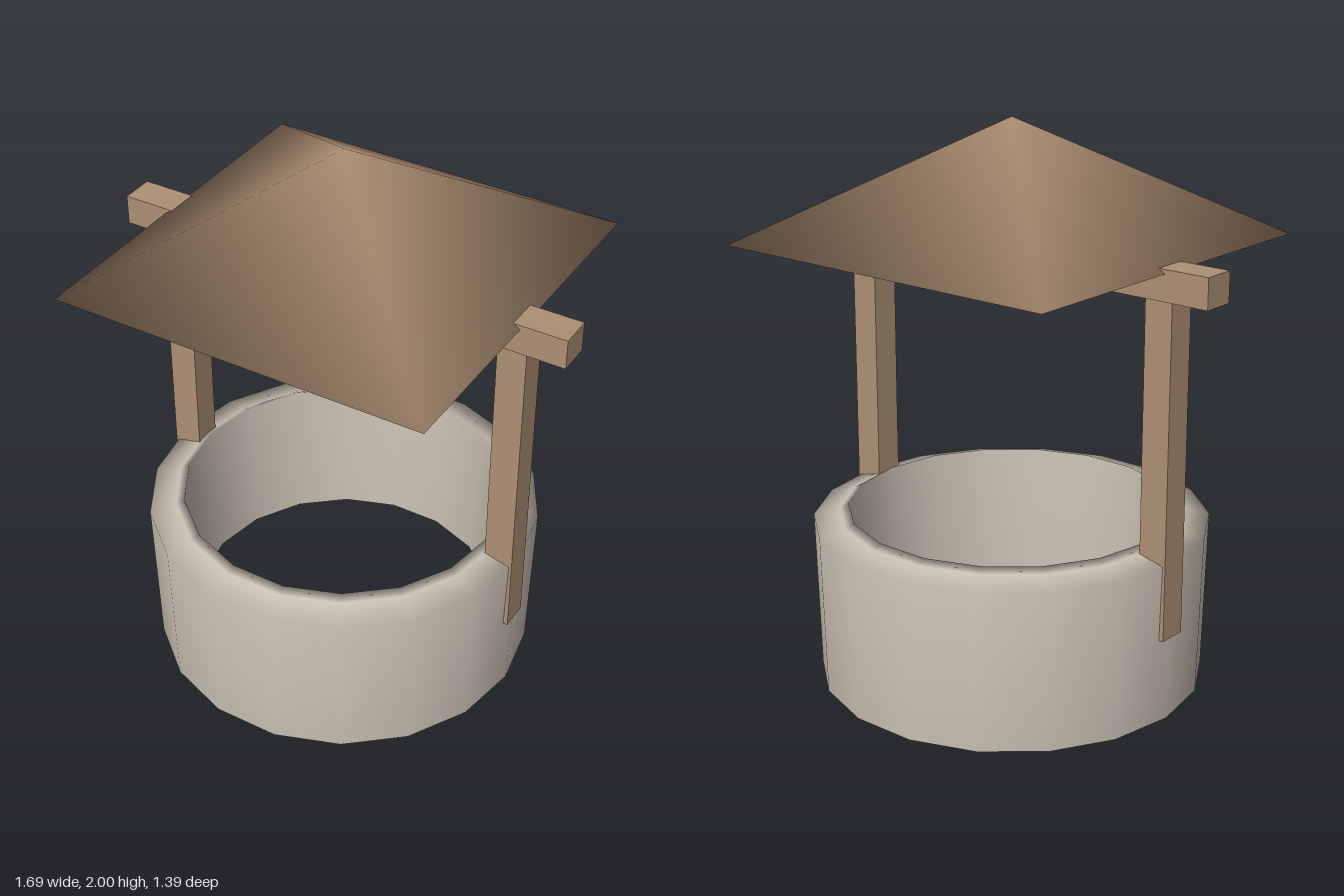
import * as THREE from 'three';

export function createModel() {
  const model = new THREE.Group();
  model.name = 'well';
  const stone = new THREE.MeshStandardMaterial({ color: 0xc8c0b2, side: THREE.DoubleSide });
  stone.name = 'stone';
  const wood = new THREE.MeshStandardMaterial({ color: 0xae9074 });
  wood.name = 'wood';

  function add(name, geometry, material, x = 0, y = 0, z = 0) {
    const mesh = new THREE.Mesh(geometry, material);
    mesh.name = name;
    mesh.position.set(x, y, z);
    model.add(mesh);
    return mesh;
  }

  // Stone ring: outer wall, sloping rim and inner wall, open underneath
  const profile = [[0.69, 0], [0.705, 0.58], [0.61, 0.603], [0.58, 0.62], [0.555, 0.08]]
    .map(([r, y]) => new THREE.Vector2(r, y));
  add('stoneRing', new THREE.LatheGeometry(profile, 18, Math.PI / 2), stone);

  // Two posts and the beam they carry
  for (const [name, side] of [['leftPost', 1], ['rightPost', -1]]) {
    add(name, new THREE.BoxGeometry(0.105, 1.19, 0.105), wood, side * 0.653, 0.905, 0);
  }
  add('beam', new THREE.BoxGeometry(1.69, 0.107, 0.12), wood, 0, 1.542, 0);

  // Roof: a closed pyramid with soft shared normals
  const s = 0.68;
  const roof = new THREE.BufferGeometry();
  roof.setAttribute('position', new THREE.Float32BufferAttribute(
    [-s, 0, s, s, 0, s, s, 0, -s, -s, 0, -s, 0, 0.42, 0], 3));
  const faces = [0, 2, 1, 0, 3, 2];
  for (let i = 0; i < 4; i++) faces.push(i, (i + 1) % 4, 4);
  roof.setIndex(faces);
  roof.computeVertexNormals();
  add('roof', roof, wood, 0, 1.58, 0);

  return model;
}
